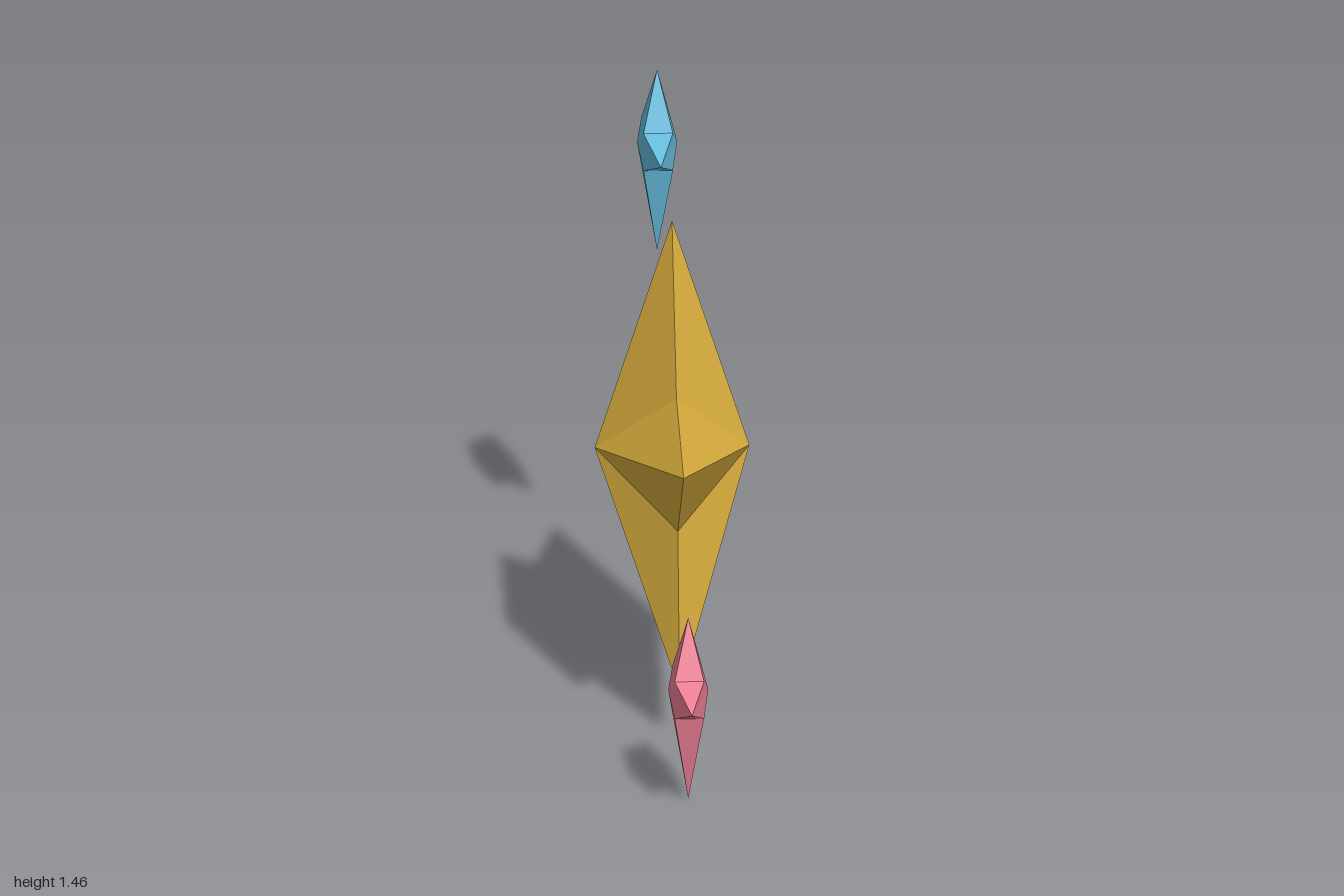
import * as THREE from 'three';

// Faceted star facing +x and -x. The outline is a list of [z, y] points about the
// centre, alternating tip and valley, running from the top tip towards +z.
function createStar(name, outline, apexX, valleyX, color) {
  const pos = [];
  const tri = (...corners) => corners.forEach((c) => pos.push(...c));
  const n = outline.length;
  const at = (i, side) => {
    const [z, y] = outline[i % n];
    return [i % 2 ? side * valleyX : 0, y, z];
  };
  for (let i = 0; i < n; i++) {
    // facets fanning out from the two raised centres
    tri([apexX, 0, 0], at(i, 1), at(i + 1, 1));
    tri([-apexX, 0, 0], at(i + 1, -1), at(i, -1));
    // rim facets between the two sides of a thick valley
    if (valleyX > 0) {
      if (i % 2) tri(at(i, 1), at(i, -1), at(i + 1, 1));
      else tri(at(i, 1), at(i + 1, -1), at(i + 1, 1));
    }
  }
  const geometry = new THREE.BufferGeometry();
  geometry.setAttribute('position', new THREE.Float32BufferAttribute(pos, 3));
  geometry.computeVertexNormals();
  const mesh = new THREE.Mesh(geometry, new THREE.MeshStandardMaterial({ color, flatShading: true }));
  mesh.name = name;
  return mesh;
}

// Completes a symmetric outline from its +z half (top point to bottom point)
function mirrorOutline(half) {
  const back = half.slice(1, -1).reverse().map(([z, y]) => [-z, y]);
  return [...half, ...back];
}

export function createModel() {
  const group = new THREE.Group();
  group.name = 'stars';

  // Large five-pointed star with sharp valleys
  const five = mirrorOutline([
    [0, 0.637], [0.23, 0.22], [0.597, 0.131], [0.3, -0.129], [0.39, -0.547], [0, -0.388],
  ]);
  const large = createStar('largeStar', five, 0.205, 0, 0xdcb03e);
  large.position.set(0, 0.685, -0.033);
  group.add(large);

  // Two small four-pointed sparkles with a long lower tip
  const four = mirrorOutline([
    [0, 0.203], [0.061, 0.045], [0.2, 0], [0.061, -0.06], [0, -0.308],
  ]);
  const sparkles = [
    ['lowerFrontSparkle', 0.308, 0.8, 0xee8095],
    ['upperBackSparkle', 1.26, -0.8, 0x66bcdc],
  ];
  for (const [name, y, z, color] of sparkles) {
    const sparkle = createStar(name, four, 0.053, 0.039, color);
    sparkle.position.set(0, y, z);
    group.add(sparkle);
  }
  return group;
}
